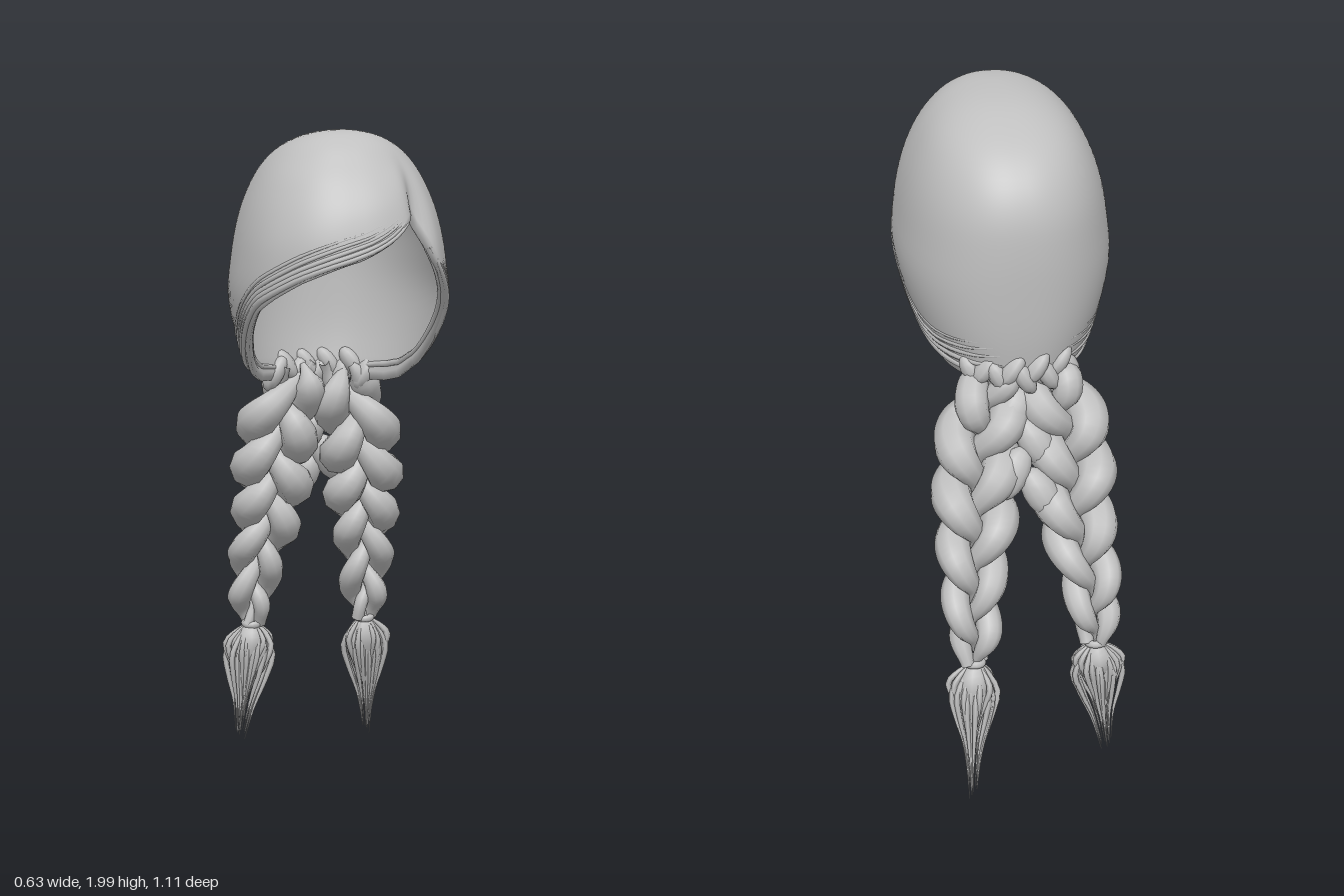
import * as THREE from 'three';
import { mergeVertices } from 'three/addons/utils/BufferGeometryUtils.js';

const V = (x, y, z) => new THREE.Vector3(x, y, z);
const { lerp, smoothstep, degToRad } = THREE.MathUtils;

// Half width, front z and back z of the cap, evenly spaced in sqrt(depth below crown)
const profile = new THREE.CatmullRomCurve3([
  V(0, .22, .22), V(.085, .32, .07), V(.155, .38, -.04), V(.21, .43, -.14), V(.252, .485, -.21),
  V(.285, .525, -.25), V(.306, .545, -.263), V(.314, .53, -.263), V(.275, .46, -.255), V(.2, .38, -.23),
], false, 'catmullrom');

// Lower edge of the hair: azimuth in degrees (0 = front, + = left), height
const edge = [[-180, 1.25], [-150, 1.24], [-115, 1.25], [-97, 1.28], [-82, 1.335], [-70, 1.4], [-54, 1.49],
  [-40, 1.535], [-25, 1.58], [0, 1.64], [15, 1.69], [28, 1.745], [39, 1.78], [44, 1.71], [49, 1.64], [58, 1.57],
  [68, 1.5], [80, 1.39], [90, 1.31], [105, 1.26], [120, 1.245], [150, 1.24], [180, 1.25]];

function edgeHeight(a) {
  const i = Math.max(1, edge.findIndex(e => e[0] >= a));
  const [a0, y0] = edge[i - 1], [a1, y1] = edge[i];
  return lerp(y0, y1, (a - a0) / (a1 - a0));
}

// Point on the cap, a = azimuth in degrees, v = 0 crown .. 1 lower edge
function capPoint(a, v, scale = 1) {
  const s = v * Math.sqrt(2 - edgeHeight(a));
  const y = 2 - s * s;
  const p = profile.getPoint(Math.min(1, s / .9));
  const sn = Math.sin(degToRad(a)), cs = Math.cos(degToRad(a));
  const sq = n => Math.sign(n) * Math.pow(Math.abs(n), .87);
  // groove where the fringe parts from the left side
  const part = 1 - .14 * Math.exp(-(((a - 39) / 7) ** 2)) * (1 - smoothstep(y, 1.72, 1.95));
  // fringe swells a little towards its edge
  const roll = 1 + .015 * smoothstep(v, .6, .85) * (1 - smoothstep(Math.abs(a + 10), 30, 60));
  const k = part * roll, mid = (p.y + p.z) / 2, half = (p.y - p.z) / 2;
  // slightly fuller towards the face
  const q = V(p.x * sq(sn) * k * (1 + .04 * cs), y, mid + half * sq(cs) * k);
  return q.sub(V(0, 1.6, .15)).multiplyScalar(scale).add(V(0, 1.6, .15));
}

function smooth(geo) {
  geo.deleteAttribute('normal');
  geo.deleteAttribute('uv');
  const g = mergeVertices(geo, 1e-5);
  g.computeVertexNormals();
  return g;
}

// Closed shell: outer wall down to the edge, rounded rim, inner wall back up
function capGeometry() {
  const nu = 144, rows = [];
  for (let j = 0; j <= 32; j++) rows.push([j / 32, 1]);
  rows.push([1.008, .975], [1.005, .95]);
  for (let j = 32; j >= 0; j--) rows.push([j / 32, .93]);
  const pos = [], idx = [];
  rows.forEach(([v, s]) => {
    for (let i = 0; i <= nu; i++) pos.push(...capPoint(-180 + 360 * i / nu, v, s).toArray());
  });
  for (let j = 0; j < rows.length - 1; j++) for (let i = 0; i < nu; i++) {
    const a = j * (nu + 1) + i, c = a + nu + 1;
    idx.push(a, c, a + 1, a + 1, c, c + 1);
  }
  const g = new THREE.BufferGeometry();
  g.setAttribute('position', new THREE.Float32BufferAttribute(pos, 3));
  g.setIndex(idx);
  return smooth(g);
}

// Tube along points whose radius follows a rule of t
function lock(points, radius, n, sides) {
  const curve = new THREE.CatmullRomCurve3(points);
  const g = new THREE.TubeGeometry(curve, n, 1, sides);
  const pos = g.attributes.position, p = V(0, 0, 0);
  for (let i = 0; i <= n; i++) {
    const c = curve.getPointAt(i / n), r = radius(curve.getUtoTmapping(i / n));
    for (let j = 0; j <= sides; j++) {
      const k = i * (sides + 1) + j;
      p.fromBufferAttribute(pos, k).sub(c).multiplyScalar(r).add(c);
      pos.setXYZ(k, p.x, p.y, p.z);
    }
  }
  return smooth(g);
}

let seed = 7;
const rand = () => (seed = (seed * 16807) % 2147483647) / 2147483647;

export function createModel() {
  const hair = new THREE.MeshStandardMaterial({ color: 0xc0c0c0 });
  hair.name = 'hairGrey';
  const model = new THREE.Group();
  model.name = 'braidedHair';
  const add = (parent, name, geo) => {
    const m = new THREE.Mesh(geo, hair);
    m.name = name;
    parent.add(m);
    return m;
  };

  add(model, 'hairCap', capGeometry());

  // Combed strands following the lower edge on both sides
  const combed = (name, from, to, v, r, scale) => {
    const pts = [];
    for (let i = 0; i <= 24; i++) {
      const t = i / 24;
      pts.push(capPoint(lerp(from, to, t), v + .008 * Math.sin(t * 5 + v * 40), scale));
    }
    add(model, name, lock(pts, t => r * Math.pow(Math.sin(Math.PI * lerp(.03, .97, t)), .5), 48, 6));
  };
  for (let i = 0; i < 5; i++) {
    const v = .988 - i * .02, r = .012 - i * .0014;
    combed('fringeStrand', 33 - i * 2, -172 + i * 4, v, r, .992);
    combed('leftSideStrand', 47 + i * 3, 178 - i * 4, v, r, .992);
  }
  // Strands tucked under the rim
  for (const s of [.965, .935]) {
    combed('innerFringeStrand', 33, -165, .99, .011, s);
    combed('innerSideStrand', 47, 165, .99, .011, s);
  }

  // Gathered tufts at the nape
  for (let i = 0; i < 9; i++) {
    const x = -.14 + .035 * i;
    const tuft = add(model, 'napeTuft', new THREE.SphereGeometry(1, 10, 8));
    tuft.scale.set(.03, .06, .04);
    tuft.position.set(x, 1.26 + .025 * (i % 2), -.235 + x * x * 3);
    tuft.rotation.z = (i % 2 ? .6 : -.5);
  }

  // Crossing locks that bridge the two braids behind the neck
  for (const [x, y, z, tilt] of [[.035, 1.14, -.235, .5], [-.03, 1.06, -.265, -.5], [.045, .98, -.3, .5], [-.035, .92, -.32, -.5]]) {
    const bridge = add(model, 'crossingLock', new THREE.SphereGeometry(1, 12, 9));
    bridge.scale.set(.05, .085, .045);
    bridge.position.set(x, y, z);
    bridge.rotation.set(.3, 0, tilt);
  }

  const sides = [
    { name: 'leftBraid', turn: .1, path: [V(.065, 1.29, -.19), V(.132, 1.06, -.23), V(.162, .83, -.345), V(.185, .62, -.42), V(.185, .43, -.445)], tip: V(.212, .01, -.55) },
    { name: 'rightBraid', turn: .35, path: [V(-.06, 1.29, -.18), V(-.132, 1.06, -.22), V(-.14, .83, -.318), V(-.178, .62, -.382), V(-.19, .43, -.405)], tip: V(-.23, .04, -.42) },
  ];
  for (const { name, turn, path, tip } of sides) {
    const braid = new THREE.Group();
    braid.name = name;
    model.add(braid);
    const spine = new THREE.CatmullRomCurve3(path);
    const size = t => (.68 + .32 * smoothstep(t, 0, .22)) * (1 - .36 * smoothstep(t, .4, .9)) * (1 - .45 * smoothstep(t, .88, 1));

    // Three plaited strands, plump where they turn at the sides
    for (let k = 0; k < 3; k++) {
      const angle = t => Math.PI * 2 * (1.9 * t + k / 3 + turn);
      const pts = [];
      for (let i = 0; i <= 60; i++) {
        const t = i / 60, th = angle(t), s = size(t);
        const depth = spine.getTangentAt(t).cross(V(1, 0, 0)).normalize();
        pts.push(spine.getPointAt(t).add(V(.074 * s * Math.sin(th), 0, 0))
          .addScaledVector(depth, .042 * s * Math.sin(2 * th)));
      }
      add(braid, 'plaitedStrand', lock(pts, t => size(t) * (.035 + .027 * Math.abs(Math.sin(angle(t)))) *
        Math.min(1, .35 + t * 10), 90, 9));
    }

    // Tie around the end
    const end = path[4];
    const tie = add(braid, 'hairTie', new THREE.TorusGeometry(.022, .012, 8, 16));
    tie.position.copy(end);
    tie.rotation.x = Math.PI / 2 + .2;

    // Tassel: tapered core with loose strands around it
    const along = (t, ox, oz) => {
      const p = end.clone().lerp(tip, t);
      p.z += .012 * Math.sin(Math.PI * t);
      return p.add(V(ox, 0, oz));
    };
    const core = [0, .15, .3, .5, .75, 1].map(t => along(t * .7, 0, 0));
    add(braid, 'tasselCore', lock(core, t => .003 + .034 * Math.sin(Math.PI * Math.pow(1 - t, 1.8)) + .014 * (1 - t), 20, 10));
    for (let i = 0; i < 48; i++) {
      const a = i * 2.4, spread = .5 + .5 * rand(), reach = i ? .5 + .47 * rand() : 1;
      const ox = .082 * spread * Math.cos(a), oz = .048 * spread * Math.sin(a);
      const pts = [[0, .2], [.12, .65], [.27, 1], [.48, .8], [.72, .45], [1, .22]]
        .map(([t, w]) => along(t * reach, ox * w, oz * w));
      add(braid, 'tasselStrand', lock(pts, t => .001 + .0085 * Math.sin(Math.PI * Math.pow(1 - t, 1.3)), 14, 5));
    }
  }
  return model;
}
